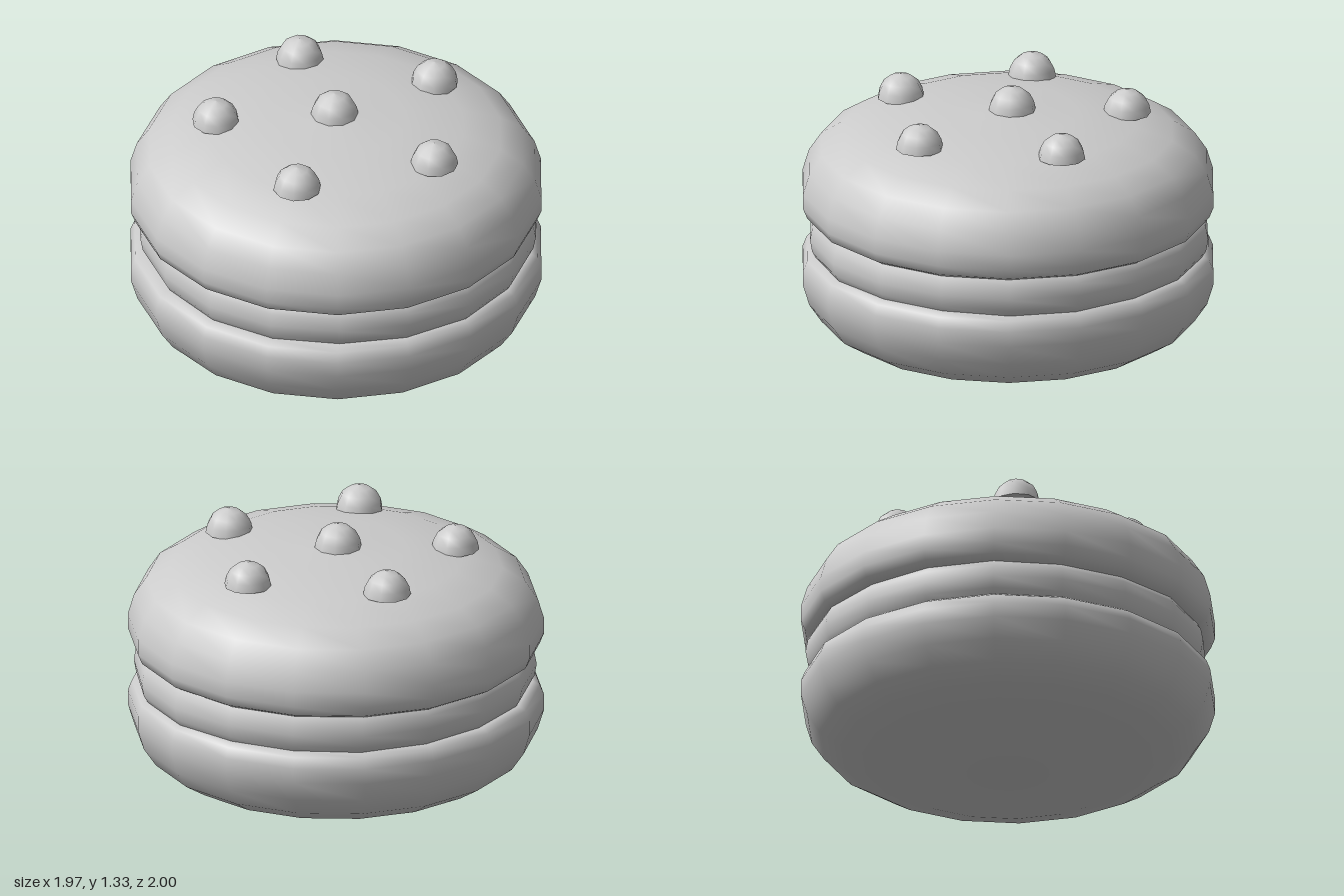
import * as THREE from 'three';

const SIDES = 18;
const MID_Y = 0.615; // height of the plane the two shells mirror about

const material = new THREE.MeshStandardMaterial({ color: 0xcccccc });

function lathe(name, profile, sides) {
  const points = profile.map(([r, y]) => new THREE.Vector2(r, y));
  const mesh = new THREE.Mesh(new THREE.LatheGeometry(points, sides), material);
  mesh.name = name;
  return mesh;
}

// Lower shell, from the centre of its base out, up and in under the filling
const SHELL = [
  [0, 0.005], [0.34, 0.02], [0.62, 0.06], [0.8, 0.12], [0.91, 0.19],
  [0.97, 0.28], [1, 0.38], [1, 0.455], [0.98, 0.505], [0.945, 0.525],
  [0.85, 0.53], [0, 0.53],
];

// Filling, bulging slightly between the shells
const FILLING = [
  [0, 0.49], [0.86, 0.49], [0.93, 0.51], [0.957, 0.555], [0.968, 0.615],
  [0.957, 0.675], [0.93, 0.72], [0.86, 0.74], [0, 0.74],
];

// Rounded chip, from its rim up to its tip
const CHIP = [[0.115, 0], [0.107, 0.04], [0.086, 0.08], [0.052, 0.107], [0, 0.12]];

// Chip positions: x, base height, z
const CHIPS = [
  [0, 1.215, -0.02], [0.03, 1.175, -0.575], [-0.535, 1.175, -0.215],
  [0.565, 1.175, -0.16], [-0.37, 1.175, 0.455], [0.32, 1.175, 0.49],
];

function createChip() {
  const chip = new THREE.Group();
  chip.name = 'chip';
  chip.add(lathe('chipDome', CHIP, 10));
  const base = new THREE.Mesh(new THREE.CircleGeometry(0.115, 10), material);
  base.name = 'chipBase';
  base.rotation.set(Math.PI / 2, 0, Math.PI / 2);
  chip.add(base);
  return chip;
}

export function createModel() {
  const model = new THREE.Group();
  model.name = 'sandwichCookie';

  // Two matching shells, mirrored top to bottom
  const mirrored = SHELL.map(([r, y]) => [r, 2 * MID_Y - y]).reverse();
  model.add(lathe('bottomShell', SHELL, SIDES));
  model.add(lathe('topShell', mirrored, SIDES));

  // Slightly uneven filling
  const filling = lathe('filling', FILLING, SIDES);
  const pos = filling.geometry.attributes.position;
  for (let i = 0; i < pos.count; i++) {
    const x = pos.getX(i), z = pos.getZ(i);
    const a = Math.atan2(x, z);
    const k = 1 + 0.006 * Math.sin(5 * a);
    pos.setX(i, x * k);
    pos.setZ(i, z * k);
  }
  filling.position.x = 0.01;
  model.add(filling);

  // Chips scattered on top
  CHIPS.forEach(([x, y, z], i) => {
    const chip = createChip();
    chip.position.set(x, y, z);
    chip.rotation.y = i * 0.5;
    model.add(chip);
  });

  return model;
}
